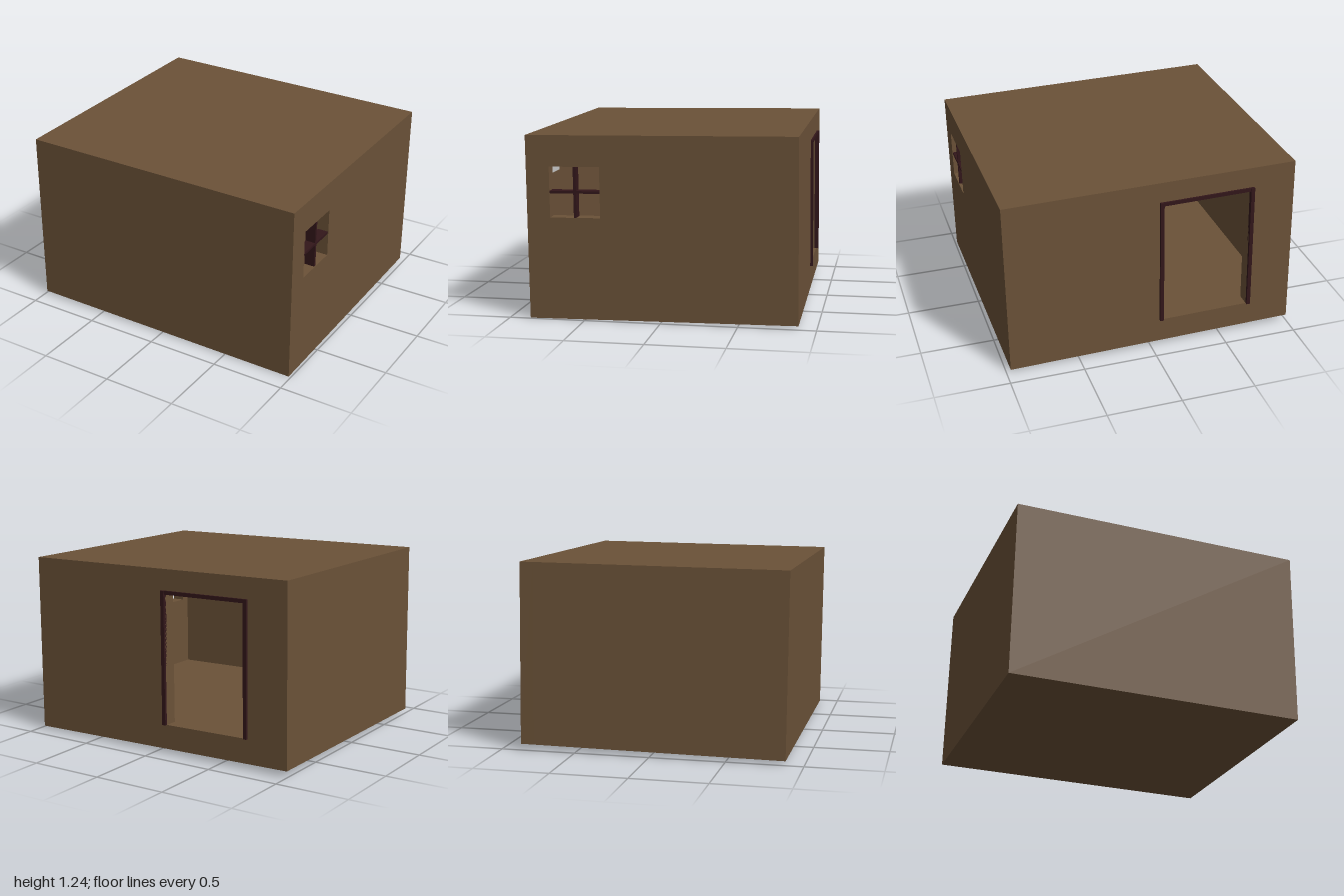
import * as THREE from 'three';

const W = 1.97, H = 1.2, D = 1.75;            // outer size of the room
const T = 0.09, FLOOR = 0.164, ROOF = 0.03;   // thicknesses
const door = { x0: -0.675, x1: -0.075, y0: -H / 2 + FLOOR, y1: 0.435 };
const win = { x0: 0.393, x1: 0.723, y0: 0.068, y1: 0.398 };

const brown = new THREE.MeshStandardMaterial({ color: 0x6b5238 });
const darkRed = new THREE.MeshStandardMaterial({ color: 0x32161a });
const pale = new THREE.MeshStandardMaterial({ color: 0xcccccc });

function rectangle(path, x0, y0, x1, y1) {
  path.moveTo(x0, y0);
  path.lineTo(x1, y0);
  path.lineTo(x1, y1);
  path.lineTo(x0, y1);
  path.closePath();
  return path;
}

// Wall slab of thickness T with one rectangular opening
function openedWall(width, o) {
  const shape = rectangle(new THREE.Shape(), -width / 2, -H / 2, width / 2, H / 2);
  shape.holes.push(rectangle(new THREE.Path(), o.x0, o.y0, o.x1, o.y1));
  return new THREE.ExtrudeGeometry(shape, { depth: T, bevelEnabled: false });
}

export function createModel() {
  const room = new THREE.Group();
  room.name = 'room';

  const add = (name, geometry, material, x, y, z) => {
    const mesh = new THREE.Mesh(geometry, material);
    mesh.name = name;
    mesh.position.set(x, y, z);
    room.add(mesh);
    return mesh;
  };
  const box = (name, material, sx, sy, sz, x, y, z) =>
    add(name, new THREE.BoxGeometry(sx, sy, sz), material, x, y, z);

  // Walls: doorway at the back, window in the left side
  const inner = D - 2 * T;
  box('frontWall', brown, W, H, T, 0, 0, D / 2 - T / 2);
  add('backWall', openedWall(W, door), brown, 0, 0, -D / 2);
  box('rightWall', brown, T, H, inner, -W / 2 + T / 2, 0, 0);
  add('leftWall', openedWall(inner, win).rotateY(-Math.PI / 2), brown, W / 2, 0, 0);

  // Floor and roof between the walls
  box('floor', brown, W - 2 * T, FLOOR, inner, 0, -H / 2 + FLOOR / 2, 0);
  box('roof', brown, W - 2 * T, ROOF, inner, 0, H / 2 - ROOF / 2, 0);

  // Door frame on the outside of the back wall
  const f = 0.025, doorH = door.y1 - door.y0;
  for (const x of [door.x0 - f / 2, door.x1 + f / 2])
    box('doorJamb', darkRed, f, doorH + f, 0.03, x, (door.y0 + door.y1 + f) / 2, -D / 2 - 0.003);
  box('doorHead', darkRed, door.x1 - door.x0, f, 0.024, (door.x0 + door.x1) / 2, door.y1 + f / 2, -D / 2);

  // Crossed window bars
  const wz = (win.x0 + win.x1) / 2, wy = (win.y0 + win.y1) / 2, size = win.x1 - win.x0;
  box('windowPost', darkRed, 0.07, size, 0.018, W / 2 - 0.04, wy, wz);
  box('windowCrossbar', darkRed, 0.07, 0.016, size, W / 2 - 0.039, wy, wz);

  // Small pale panel on the inside of the front wall
  box('wallPanel', pale, 0.2, 0.14, 0.01, 0.65, 0.39, D / 2 - T - 0.005);

  // The whole room leans very slightly
  room.rotation.set(0.01, 0.008, -0.0125);
  room.position.set(0, 0.62, 0.005);

  const model = new THREE.Group();
  model.name = 'model';
  model.add(room);
  return model;
}
